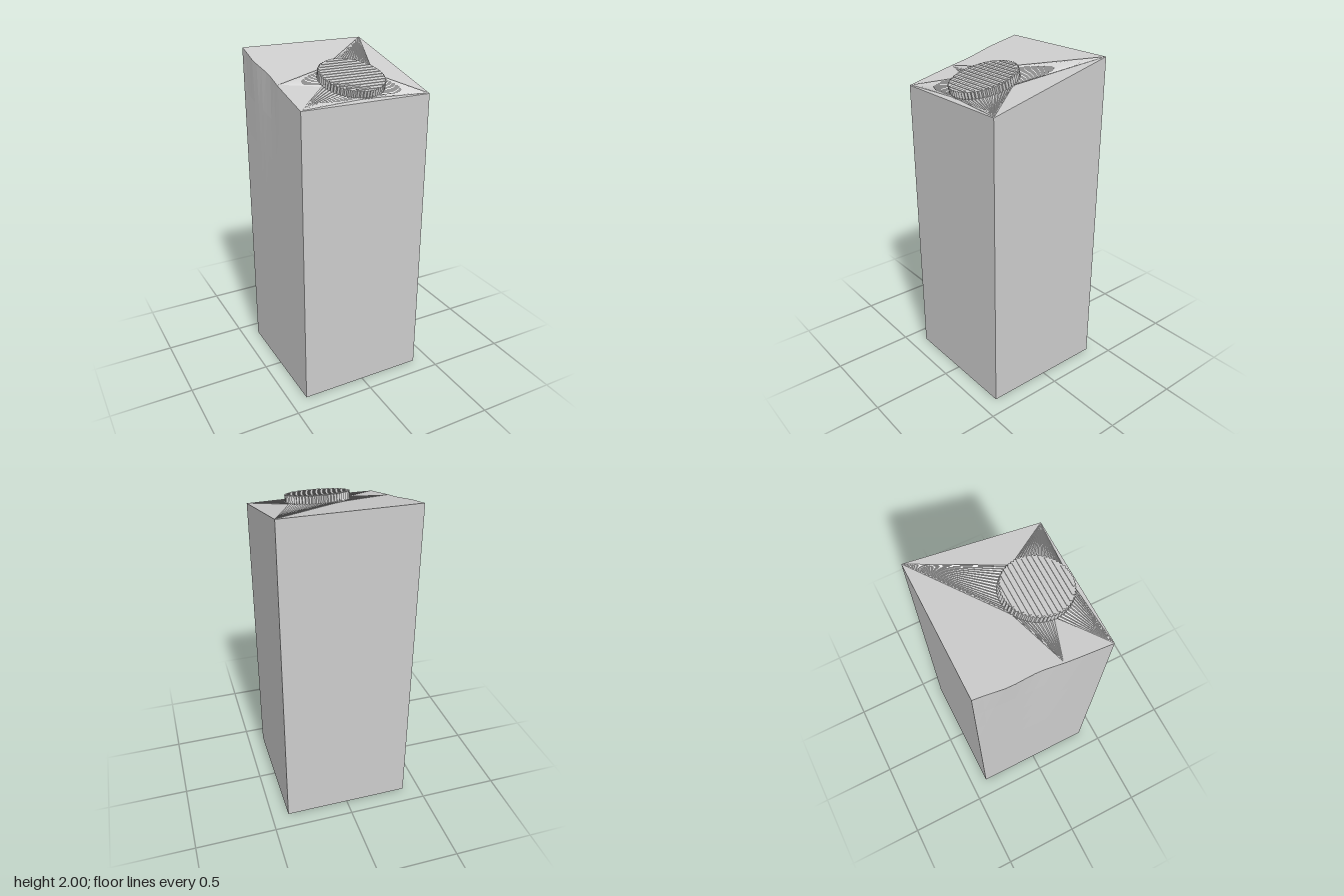
import * as THREE from 'three';

const SLOPE = 0.243;
const topY = (z) => 1.904 - SLOPE * z; // sloping top plane
const CX = 0.022, CZ = 0.163, RX = 0.185, RZ = 0.201; // disc footprint

// Upright block with a sloping top and a slightly wavy left-hand top edge
function bodyGeometry() {
  const geo = new THREE.BoxGeometry(0.79, 1, 0.79, 1, 8, 14);
  const p = geo.attributes.position;
  for (let i = 0; i < p.count; i++) {
    const z = p.getZ(i), t = p.getY(i) + 0.5;
    let x = p.getX(i);
    if (x < 0 && Math.abs(z) < 0.39) {
      const near = Math.pow(t, 8);
      x += near * (0.008 * Math.exp(-(((z + 0.02) / 0.09) ** 2)) - 0.008 * Math.exp(-(((z + 0.22) / 0.09) ** 2)));
    }
    p.setXYZ(i, x, t * topY(z), z);
  }
  geo.computeVertexNormals();
  return geo;
}

// Shallow pleats running from an anchor on the top to an arc of the disc rim
function pleatGeometry([ax, az], from, to) {
  const steps = Math.round((to - from) / 3);
  const rim = (i) => {
    const a = THREE.MathUtils.degToRad(from + ((to - from) * i) / steps);
    const x = CX + RX * Math.cos(a), z = CZ + RZ * Math.sin(a);
    return [x, topY(z) + (i % 2 ? 0.009 : 0.003), z];
  };
  const pos = [];
  for (let i = 0; i < steps; i++) pos.push(ax, topY(az) + 0.001, az, ...rim(i), ...rim(i + 1));
  const geo = new THREE.BufferGeometry();
  geo.setAttribute('position', new THREE.Float32BufferAttribute(pos, 3));
  geo.computeVertexNormals();
  return geo;
}

// Disc with a finely notched edge, axis along y, base at y = 0
function discGeometry(height) {
  const shape = new THREE.Shape();
  const teeth = 60;
  for (let i = 0; i < teeth * 2; i++) {
    const a = (i / (teeth * 2)) * Math.PI * 2;
    const k = i % 2 ? 0.965 : 1.01;
    shape[i ? 'lineTo' : 'moveTo'](RX * k * Math.cos(a), 1.03 * RZ * k * Math.sin(a));
  }
  shape.closePath();
  const geo = new THREE.ExtrudeGeometry(shape, { depth: height, bevelEnabled: false });
  geo.rotateX(-Math.PI / 2);
  return geo;
}

export function createModel() {
  const model = new THREE.Group();
  const grey = new THREE.MeshStandardMaterial({ color: 0xcccccc, flatShading: true });
  grey.name = 'grey';
  const greyThin = grey.clone();
  greyThin.name = 'greyThin';
  greyThin.side = THREE.DoubleSide;
  const add = (parent, name, geo, mat = grey) => {
    const mesh = new THREE.Mesh(geo, mat);
    mesh.name = name;
    parent.add(mesh);
    return mesh;
  };

  add(model, 'body', bodyGeometry());

  // Creases spreading around the disc
  const pleats = new THREE.Group();
  pleats.name = 'topPleats';
  model.add(pleats);
  [
    [[0.392, 0.39], -15, 95],
    [[-0.39, 0.39], 95, 175],
    [[-0.385, 0.1], 175, 245],
    [[0.394, -0.394], 245, 345],
  ].forEach(([anchor, from, to]) => add(pleats, 'pleat', pleatGeometry(anchor, from, to), greyThin));

  // Raised disc lying on the slope
  const disc = new THREE.Group();
  disc.name = 'raisedDisc';
  disc.position.set(CX, topY(CZ), CZ);
  disc.rotation.x = Math.atan(SLOPE) + 0.01;
  model.add(disc);
  const height = 0.048;
  add(disc, 'discBody', discGeometry(height + 0.015)).position.y = -0.015;

  // Fine ribs across the disc face
  const rows = 13;
  for (let i = 0; i < rows; i++) {
    const v = ((i + 0.5) / rows) * 2 - 1;
    const width = 2 * RX * 0.95 * Math.sqrt(1 - v * v);
    add(disc, 'discRib', new THREE.BoxGeometry(width, 0.004, 0.014)).position.set(0, height + 0.001, v * RZ * 0.97);
  }
  return model;
}
